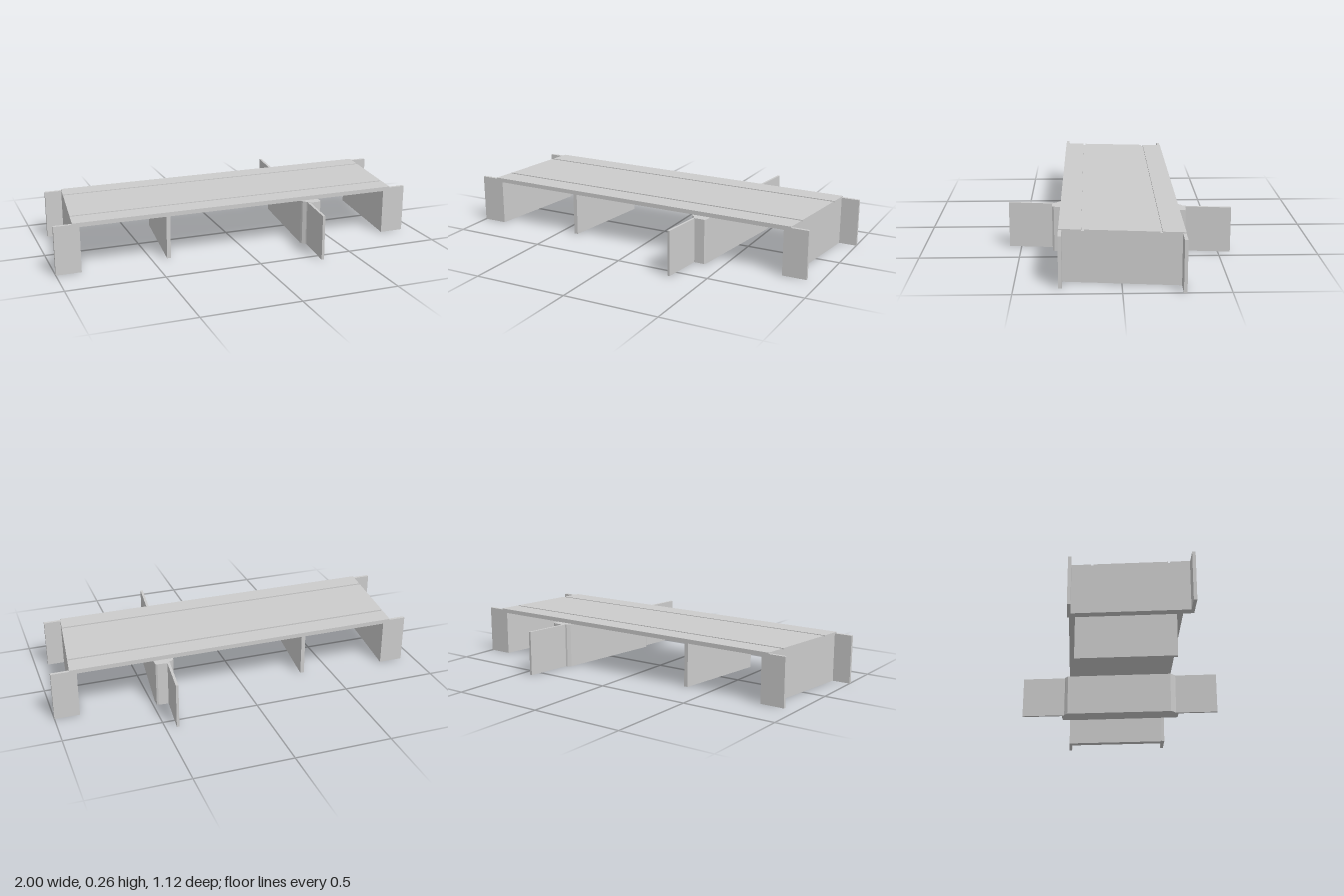
import * as THREE from 'three';

const SKEW = -0.112;      // sideways shift in x per unit of z
const UNDER = 0.236, TOP = 0.258, WING_TOP = 0.252;
const EDGE = 0.293;       // half width of the deck

export function createModel() {
  const group = new THREE.Group();
  const mat = new THREE.MeshStandardMaterial({ color: 0xcccccc, flatShading: true });

  const add = (name, geo) => {
    const mesh = new THREE.Mesh(geo, mat);
    mesh.name = name;
    group.add(mesh);
  };

  // Upright prism standing on the ground from a plan outline of [x, z] points
  const prism = (name, plan, height) => {
    const shape = new THREE.Shape(plan.map(([x, z]) => new THREE.Vector2(x, -z)));
    const geo = new THREE.ExtrudeGeometry(shape, { depth: height, bevelEnabled: false });
    add(name, geo.rotateX(-Math.PI / 2));
  };

  // Wall following the skew, between two x offsets taken at z = 0
  const skewWall = (name, x0, x1, halfLength, height) => {
    const s = SKEW * halfLength;
    prism(name, [
      [x0 + s, halfLength], [x1 + s, halfLength],
      [x1 - s, -halfLength], [x0 - s, -halfLength],
    ], height);
  };

  // Deck: cross-section with two kerb grooves, extruded along x and sheared
  const g = 0.18, w = 0.006, low = TOP - 0.007;
  const section = new THREE.Shape([
    [-EDGE, UNDER], [EDGE, UNDER], [EDGE, TOP],
    [g + w, TOP], [g + w, low], [g - w, low], [g - w, TOP],
    [-g + w, TOP], [-g + w, low], [-g - w, low], [-g - w, TOP],
    [-EDGE, TOP],
  ].map(([z, y]) => new THREE.Vector2(z, y)));
  const length = 1.75;
  const deck = new THREE.ExtrudeGeometry(section, { depth: length, bevelEnabled: false });
  deck.rotateY(Math.PI / 2).translate(-length / 2, 0, 0);
  deck.applyMatrix4(new THREE.Matrix4().set(
    1, 0, SKEW, 0,
    0, 1, 0, 0,
    0, 0, 1, 0,
    0, 0, 0, 1));
  add('deck', deck);

  // Abutments and wing walls, the two ends being half-turn copies
  for (const s of [1, -1]) {
    const end = s > 0 ? 'left' : 'right';
    const inner = 0.838, outer = 0.875;
    skewWall(end + 'Abutment', Math.min(s * inner, s * outer), Math.max(s * inner, s * outer), EDGE, UNDER);
    const wing = (name, x0, x1, z) => prism(name, [
      [s * x0, s * z], [s * x1, s * z], [s * x1, s * (z - Math.sign(z) * 0.016)],
      [s * x0, s * (z - Math.sign(z) * 0.016)],
    ], WING_TOP);
    wing(end + 'WingWallNear', 0.805, 0.932, EDGE);
    wing(end + 'WingWallFar', 0.871, 1, -EDGE);
  }

  // Slim pier wholly under the deck
  skewWall('slimPier', -0.391, -0.37, 0.262, UNDER);

  // Thick pier with chamfered noses
  prism('thickPier', [
    [0.315, 0.292], [0.319, 0.303], [0.334, 0.317], [0.346, 0.337],
    [0.403, 0.337], [0.41, 0.328], [0.482, -0.29], [0.481, -0.326],
    [0.472, -0.331], [0.42, -0.335], [0.405, -0.32], [0.396, -0.318],
    [0.381, -0.303], [0.38, -0.292],
  ], UNDER - 0.001);

  // Thin cutwater wall running through the thick pier and out on both sides
  prism('cutwaterWall', [
    [0.312, 0.558], [0.325, 0.56], [0.445, -0.562], [0.432, -0.563],
  ], UNDER - 0.002);

  return group;
}
